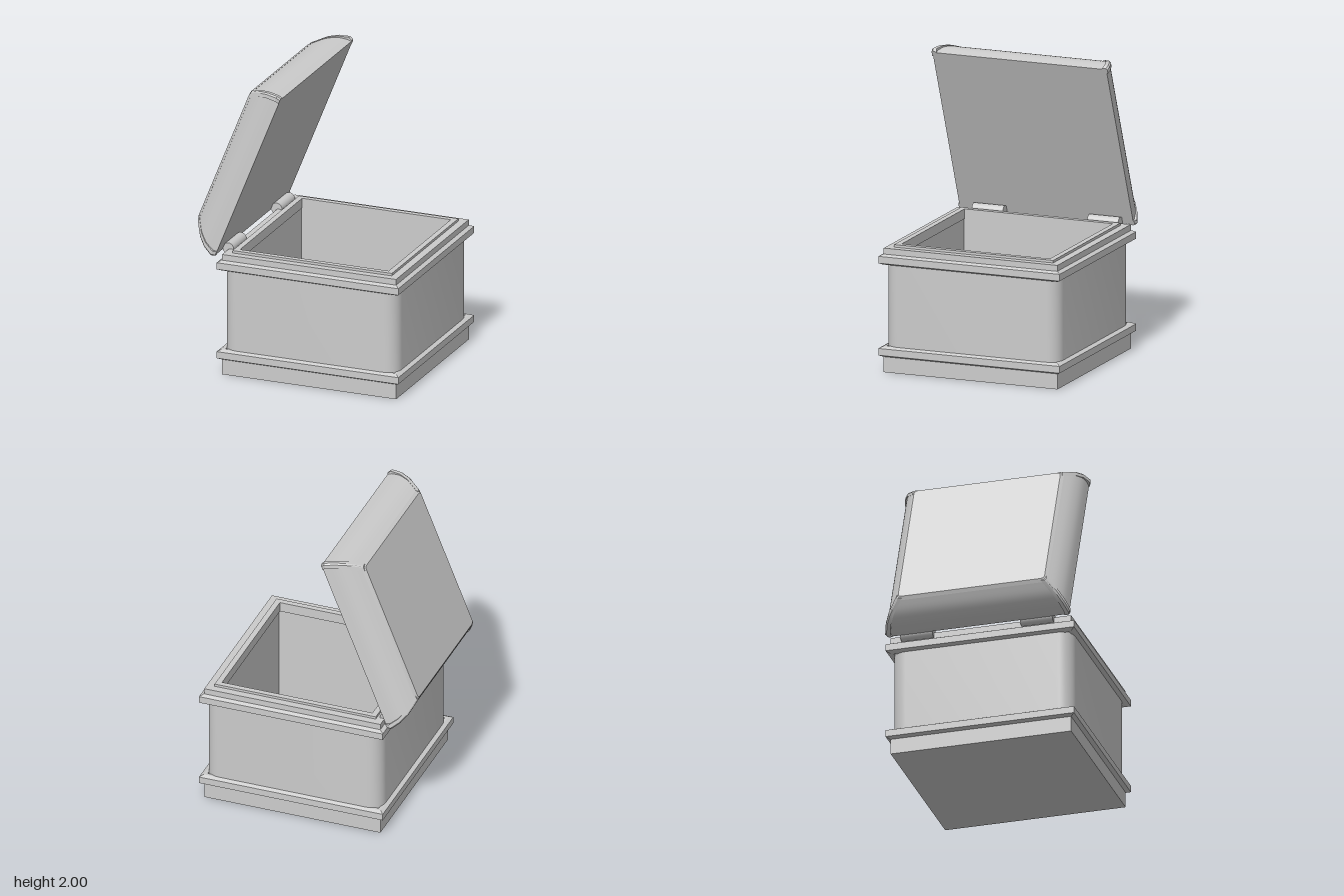
import * as THREE from 'three';
import { toCreasedNormals } from 'three/addons/utils/BufferGeometryUtils.js';

const material = new THREE.MeshStandardMaterial({ color: 0xcccccc });

// Square ring of half width s at height y; corners rounded by r in n steps (n = 0: sharp)
function square(s, y, r = 0, n = 0) {
  const points = [];
  for (let k = 0; k < 4; k++) {
    const sx = [1, -1, -1, 1][k], sz = [1, 1, -1, -1][k];
    for (let i = 0; i <= n; i++) {
      const a = (k + (n ? i / n : 0)) * Math.PI / 2;
      points.push(new THREE.Vector3(sx * (s - r) + r * Math.cos(a), y, sz * (s - r) + r * Math.sin(a)));
    }
  }
  return points;
}

// Solid through a stack of rings: capped at both ends, or looped back to the first ring
function loft(name, rings, looped = false) {
  const out = [];
  const tri = (...p) => p.forEach(v => out.push(v.x, v.y, v.z));
  const centre = ring => ring.reduce((c, p) => c.add(p), new THREE.Vector3()).divideScalar(ring.length);
  const first = rings[0], last = rings[rings.length - 1], n = first.length;
  const stack = looped ? [...rings, first] : rings;
  for (let i = 0; i < n; i++) {
    const j = (i + 1) % n;
    for (let k = 0; k < stack.length - 1; k++) {
      const lo = stack[k], hi = stack[k + 1];
      tri(lo[i], hi[i], hi[j]);
      tri(lo[i], hi[j], lo[j]);
    }
    if (!looped) {
      tri(centre(first), first[i], first[j]);
      tri(centre(last), last[j], last[i]);
    }
  }
  const geometry = new THREE.BufferGeometry();
  geometry.setAttribute('position', new THREE.Float32BufferAttribute(out, 3));
  const mesh = new THREE.Mesh(toCreasedNormals(geometry, 0.4), material);
  mesh.name = name;
  return mesh;
}

function createBox() {
  const box = new THREE.Group();
  box.name = 'box';
  box.position.x = 0.097;

  // Plinth
  box.add(loft('plinth', [square(0.617, 0), square(0.617, 0.12)]));

  // Outer walls with rounded corners
  box.add(loft('walls', [
    square(0.617, 0.12, 0.1, 8), square(0.617, 0.77, 0.1, 8),
    square(0.6, 0.77, 0.09, 8), square(0.6, 0.12, 0.09, 8),
  ], true));

  // Square rim, raised lip and the cavity down to its floor
  box.add(loft('rimAndCavity', [
    square(0.57, 0.1), square(0.57, 0.77), square(0.617, 0.77), square(0.617, 0.835),
    square(0.565, 0.835), square(0.565, 0.852), square(0.527, 0.852),
    square(0.527, 0.785), square(0.535, 0.785), square(0.535, 0.122),
  ]));

  // Chamfered bands around the walls
  for (const [name, y] of [['lowerBand', 0.105], ['upperBand', 0.725]]) {
    box.add(loft(name, [
      square(0.6, y), square(0.62, y), square(0.644, y + 0.012), square(0.644, y + 0.058),
      square(0.62, y + 0.07), square(0.6, y + 0.07),
    ], true));
  }
  return box;
}

function createLid() {
  const lid = new THREE.Group();
  lid.name = 'lid';

  // Domed body with four curved sides and a flat underside
  const dome = new THREE.SplineCurve(
    [[0.617, 0], [0.602, 0.09], [0.567, 0.16], [0.515, 0.22]].map(p => new THREE.Vector2(...p))
  ).getPoints(12);
  lid.add(loft('dome', dome.map(p => square(p.x, p.y))));

  // Bevelled top panel with rounded corners
  lid.add(loft('topPanel', [square(0.519, 0.218, 0.03, 4), square(0.5, 0.236, 0.025, 4)]));

  // Curved rib on each hip
  const w = 0.036, c = 0.01;
  const path = [[0.624, 0], [0.632, 0.027], [0.611, 0.096], [0.578, 0.155], [0.512, 0.228]];
  const rings = path.map(([s, y]) => [
    [s, s - w], [s, s - c], [s - c, s], [s - w, s], [s - w, s - w],
  ].map(([x, z]) => new THREE.Vector3(x, y, z)));
  for (let k = 0; k < 4; k++) {
    const rib = loft('hipRib', rings);
    rib.rotation.y = k * Math.PI / 2;
    lid.add(rib);
  }

  // Swung open
  lid.position.set(-0.337, 1.397, 0);
  lid.rotation.z = 1.189;
  return lid;
}

export function createModel() {
  const model = new THREE.Group();
  model.name = 'openChest';
  model.add(createBox(), createLid());

  // Hinge barrels
  for (const z of [0.39, -0.43]) {
    const hinge = new THREE.Mesh(new THREE.CylinderGeometry(0.039, 0.039, 0.22, 20), material);
    hinge.name = 'hinge';
    hinge.rotation.x = Math.PI / 2;
    hinge.position.set(-0.525, 0.837, z);
    model.add(hinge);
  }
  return model;
}
